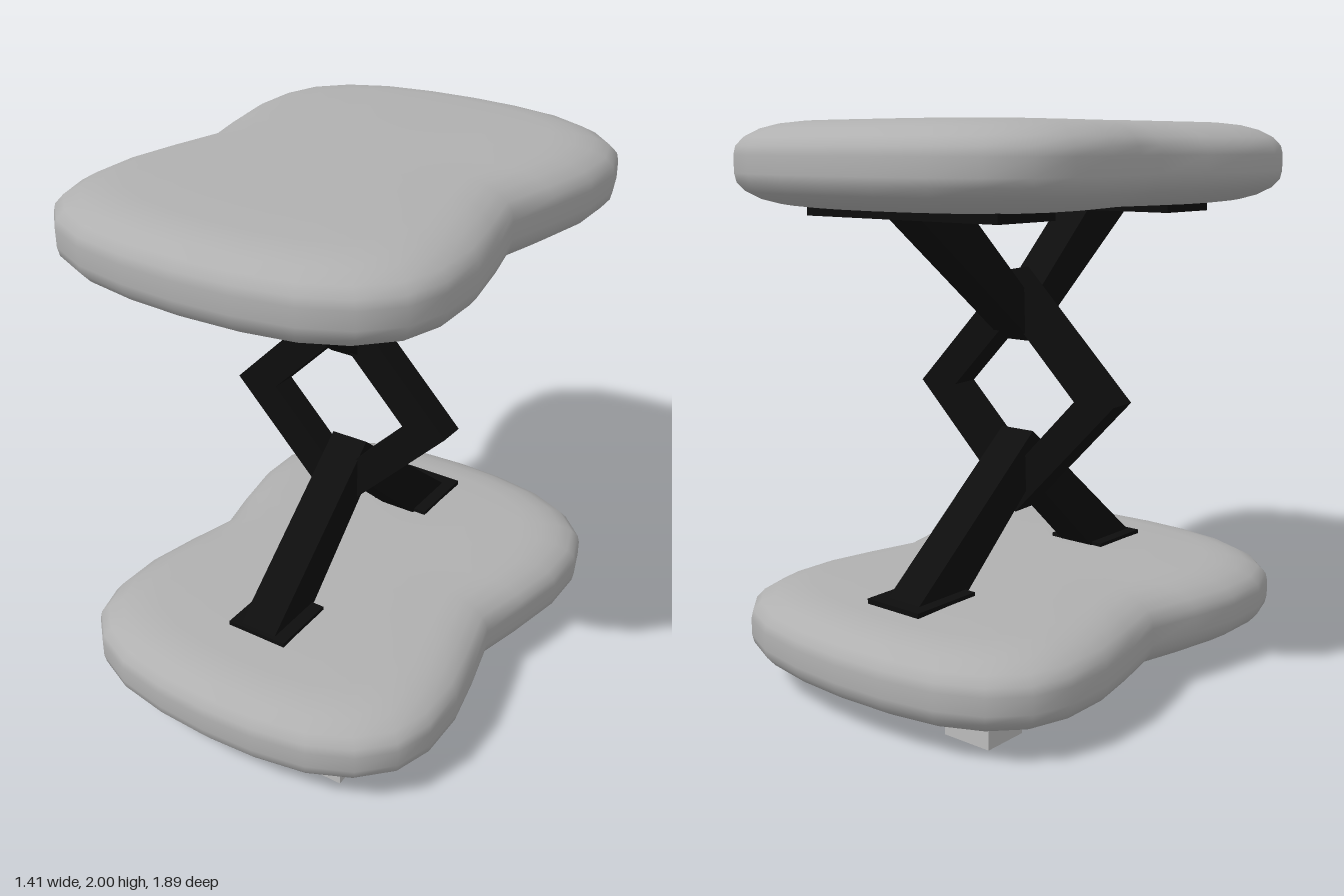
import * as THREE from 'three';

const mat = (name, color) => {
  const m = new THREE.MeshStandardMaterial({ color });
  m.name = name;
  return m;
};

// Rounded pad with a pinched waist: one outline, repeated at several insets and heights
function padGeometry() {
  const quarter = [
    [0, 0.945], [0.2, 0.935], [0.4, 0.9], [0.555, 0.83], [0.66, 0.725],
    [0.705, 0.585], [0.705, 0.4], [0.665, 0.2], [0.615, 0],
  ];
  const back = quarter.slice(0, -1).reverse().map(([x, z]) => [x, -z]);
  const half = [...quarter, ...back];
  const left = half.slice(1, -1).reverse().map(([x, z]) => [-x, z]);
  const outline = [...half, ...left];

  // [inset, height above the middle]
  const upper = [
    [0, 0.03], [0.006, 0.06], [0.03, 0.09], [0.075, 0.117],
    [0.13, 0.134], [0.2, 0.143], [0.4, 0.149], [0.705, 0.15],
  ];
  const rings = [...upper.map(([i, y]) => [i, -y]).reverse(), ...upper];
  const n = outline.length;
  const pos = [], index = [];
  rings.forEach(([inset, y], i) => {
    outline.forEach(([x, z], j) => {
      const k = inset / 0.705, kz = inset < 0.7 ? inset / 0.945 : 1;
      pos.push(x * (1 - k), y, z * (1 - kz));
      if (i === rings.length - 1) return;
      const a = i * n + j, b = i * n + (j + 1) % n;
      index.push(a, b, b + n, a, b + n, a + n);
    });
  });
  const g = new THREE.BufferGeometry();
  g.setAttribute('position', new THREE.Float32BufferAttribute(pos, 3));
  g.setIndex(index);
  g.computeVertexNormals();
  return g;
}

// Tapered bar from a side profile given as [z, y], extruded across x
function strutGeometry(profile, width) {
  const shape = new THREE.Shape(profile.map(([z, y]) => new THREE.Vector2(z, y)));
  const g = new THREE.ExtrudeGeometry(shape, { depth: width, bevelEnabled: false });
  g.translate(0, 0, -width / 2);
  g.rotateY(-Math.PI / 2);
  return g;
}

export function createModel() {
  const padGrey = mat('pad grey', 0xb0b0b0);
  const footGrey = mat('foot grey', 0xbcbcbc);
  const frameBlack = mat('frame black', 0x0d0d0d);
  const root = new THREE.Group();
  root.name = 'scissorStool';

  const add = (name, geometry, material, x = 0, y = 0, z = 0) => {
    const mesh = new THREE.Mesh(geometry, material);
    mesh.name = name;
    mesh.position.set(x, y, z);
    root.add(mesh);
    return mesh;
  };
  // Box from its lower and upper limits on each axis
  const addBox = (name, material, [x0, x1], [y0, y1], [z0, z1]) =>
    add(name, new THREE.BoxGeometry(x1 - x0, y1 - y0, z1 - z0), material,
      (x0 + x1) / 2, (y0 + y1) / 2, (z0 + z1) / 2);

  // Seat and base
  const pad = padGeometry();
  add('seatPad', pad, padGrey, 0, 1.85, 0);
  add('basePad', pad, padGrey, 0, 0.215, 0);

  // Four feet
  for (const [side, xs] of [['right', [-0.46, -0.27]], ['left', [0.245, 0.44]]])
    for (const [end, zs] of [['Front', [0.57, 0.745]], ['Back', [-0.705, -0.535]]])
      addBox(`${side}${end}Foot`, footGrey, xs, [0, 0.09], zs);

  // Mounting plates
  for (const [end, zs] of [['Front', [0.295, 0.56]], ['Back', [-0.635, -0.35]]])
    addBox(`seat${end}Plate`, frameBlack, [-0.445, 0.415], [1.675, 1.715], zs);
  for (const [end, zs] of [['Front', [0.35, 0.605]], ['Back', [-0.68, -0.395]]])
    addBox(`base${end}Plate`, frameBlack, [-0.13, 0.11], [0.35, 0.378], zs);

  // Crossing struts, mirrored front to back
  const lower = [[0.605, 0.365], [0.345, 0.365], [-0.08, 0.76], [-0.02, 0.885]];
  const upper = [[0.555, 1.69], [0.3, 1.69], [-0.085, 1.32], [-0.03, 1.22]];
  const mirror = (profile, sum) => profile.map(([z, y]) => [sum - z, y]);
  add('lowerFrontStrut', strutGeometry(lower, 0.147), frameBlack, -0.013);
  add('lowerBackStrut', strutGeometry(mirror(lower, -0.04), 0.147), frameBlack, -0.013);
  add('upperFrontStrut', strutGeometry(upper, 0.147), frameBlack, -0.025);
  add('upperBackStrut', strutGeometry(mirror(upper, -0.07), 0.147), frameBlack, -0.025);

  // Open diamond link between the struts, tilted slightly back
  const diamond = (r) => [[r, 0], [0, r], [-r, 0], [0, -r]].map(([x, y]) => new THREE.Vector2(x, y));
  const frame = new THREE.Shape(diamond(0.45));
  frame.holes.push(new THREE.Path(diamond(0.28)));
  const link = new THREE.ExtrudeGeometry(frame, { depth: 0.105, bevelEnabled: false });
  link.translate(0, 0, -0.0525);
  add('diamondLink', link, frameBlack, -0.033, 1.03, -0.02).rotation.x = -0.035;

  return root;
}
